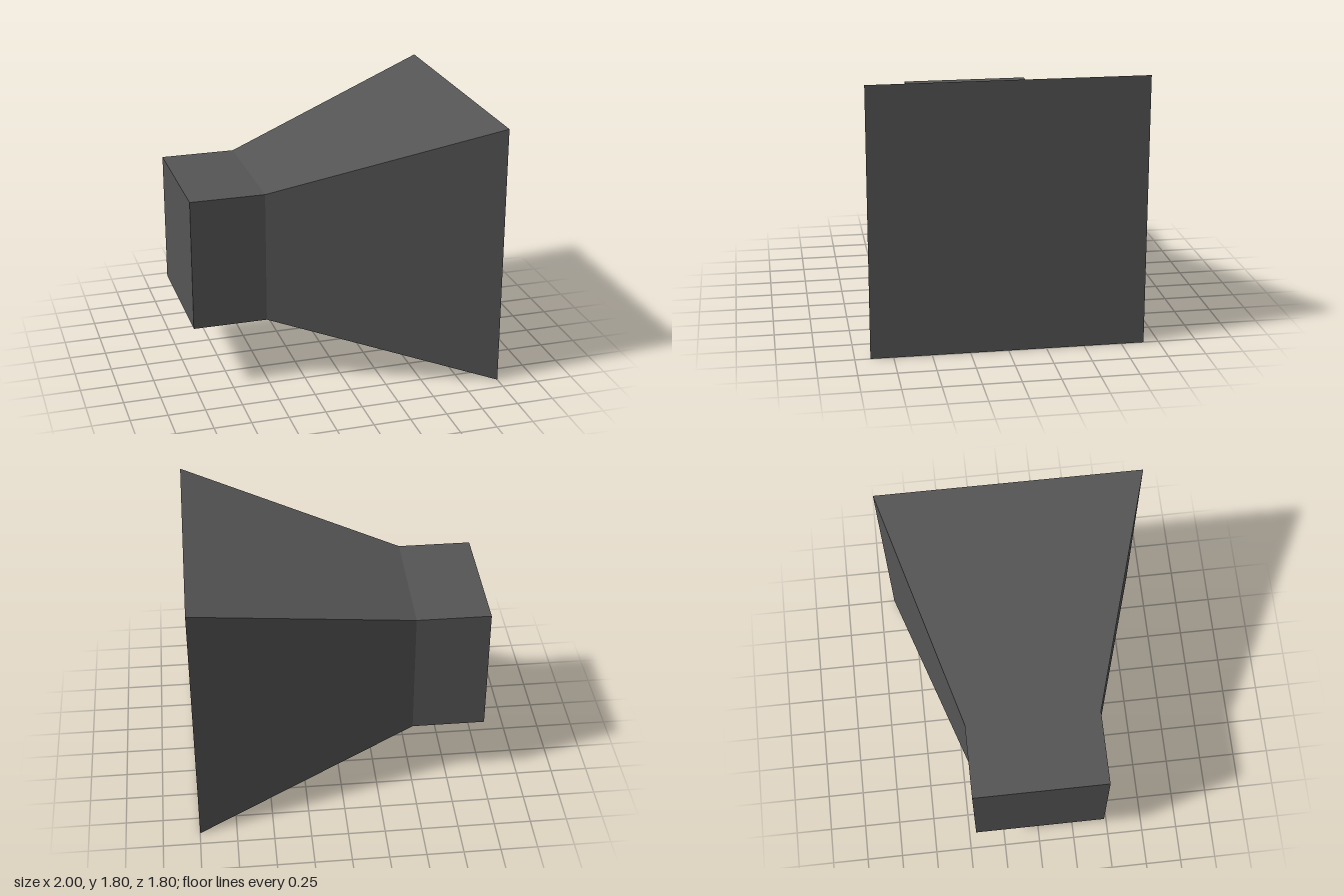
import * as THREE from 'three';

export function createModel() {
  const group = new THREE.Group();
  group.name = 'squareHorn';
  const darkGrey = new THREE.MeshStandardMaterial({ color: 0x555555, flatShading: true });
  darkGrey.name = 'darkGrey';

  // Straight square neck: x from -1 to -0.5
  // Flared bell: x from -0.5 to 1, doubling in height and depth
  const box = new THREE.BoxGeometry(2, 0.9, 0.9, 2, 1, 1);
  const pos = box.attributes.position;
  for (let i = 0; i < pos.count; i++) {
    const x = pos.getX(i);
    if (Math.abs(x) < 0.01) pos.setX(i, -0.5);
    if (x > 0.5) {
      pos.setY(i, pos.getY(i) * 2);
      pos.setZ(i, pos.getZ(i) * 2);
    }
  }

  // Separate the faces so the bend stays sharp
  const geometry = box.toNonIndexed();
  geometry.computeVertexNormals();

  const horn = new THREE.Mesh(geometry, darkGrey);
  horn.name = 'hornBody';
  horn.position.y = 0.9;
  group.add(horn);
  return group;
}
